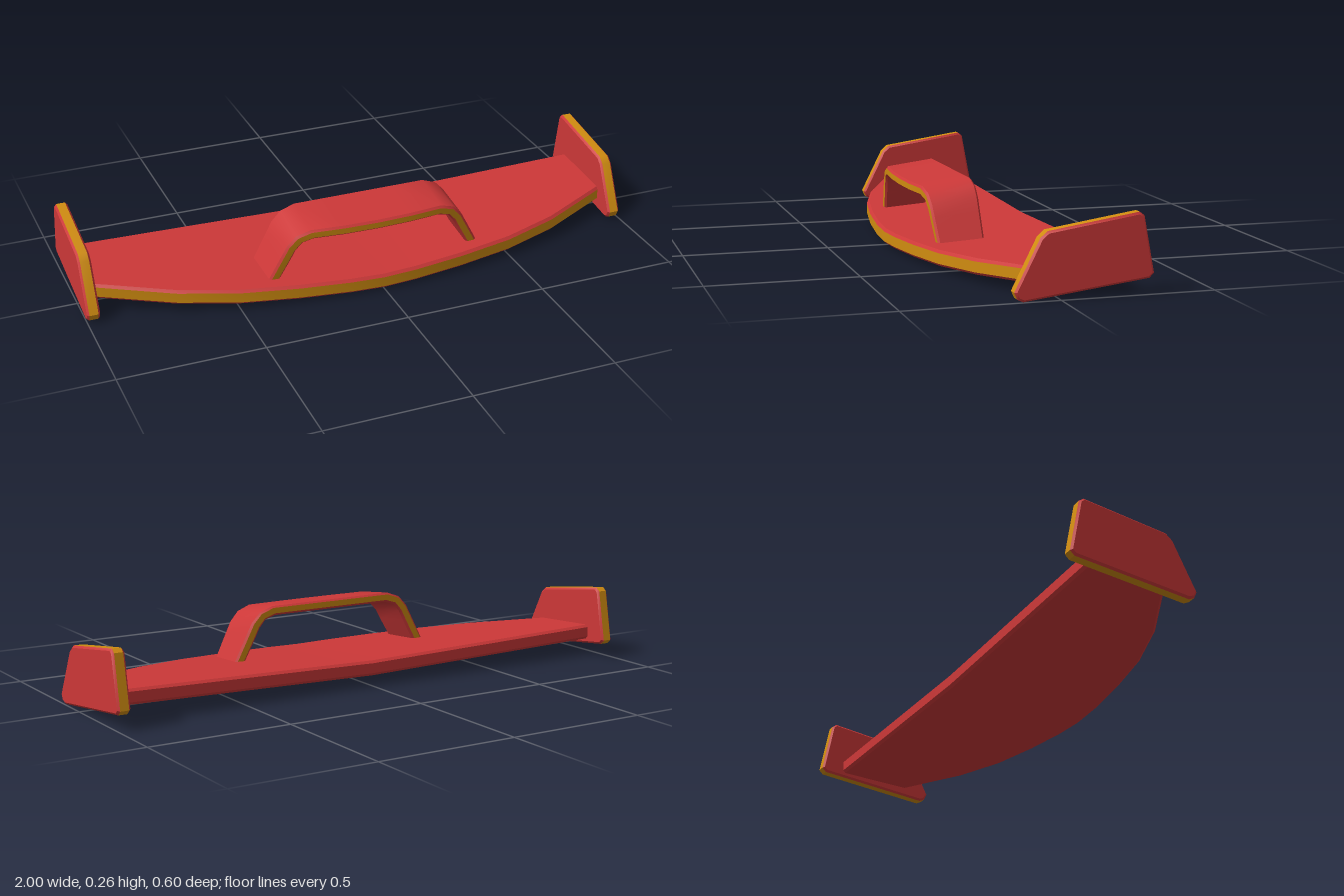
import * as THREE from 'three';
import { toCreasedNormals } from 'three/addons/utils/BufferGeometryUtils.js';

const red = new THREE.MeshStandardMaterial({ color: 0xcc3838 });
red.name = 'red panel';
const gold = new THREE.MeshStandardMaterial({ color: 0xd08c10 });
gold.name = 'gold edge';

// Skin closed cross-sections running along +x; the listed section edges are gold
function loft(rings, goldEdges) {
  const n = rings[0].length;
  const index = [[], []];
  for (let i = 0; i < rings.length - 1; i++) {
    for (let k = 0; k < n; k++) {
      const a = i * n + k, b = i * n + (k + 1) % n;
      index[goldEdges.includes(k) ? 1 : 0].push(a, a + n, b, a + n, b + n, b);
    }
  }
  const g = new THREE.BufferGeometry();
  g.setAttribute('position', new THREE.Float32BufferAttribute(rings.flat(2), 3));
  g.setIndex([...index[0], ...index[1]]);
  g.addGroup(0, index[0].length, 0);
  g.addGroup(index[0].length, index[1].length, 1);
  return toCreasedNormals(g, 0.6);
}

function part(geometry, name) {
  const m = new THREE.Mesh(geometry, [red, gold]);
  m.name = name;
  return m;
}

// Mirror a list of [x, ...] from the tip to the centre into a full left-right list
const mirrored = (half) => [
  ...half.map(([x, ...r]) => [-x, ...r]),
  ...half.slice(0, -1).reverse(),
];

// Curved blade, rising slightly to the back and to the tips
function wing() {
  const zb = -0.215, t = 0.053, c = 0.009;
  const front = mirrored([[0.965, 0.052], [0.7, 0.18], [0.5, 0.243], [0.3, 0.277], [0.12, 0.296], [0, 0.3]]);
  const rings = front.map(([x, zf]) => [
    [zf, c], [zf, t - c], [zf - c, t], [zb + c, t],
    [zb, t - c], [zb, c], [zb + c, 0], [zf - c, 0],
  ].map(([z, y]) => [x, y + 0.004 + (0.3 - z) * 0.066 + Math.abs(x) * 0.022, z]));
  return part(loft(rings, [0]), 'wing');
}

// Arched band over the middle with a bowed front edge
function arch() {
  const zb = 0.053, c = 0.007, k = 0.2;
  const stations = mirrored([ // outer x, outer y, inner inset, inner y
    [0.4, 0.05, 0.04, 0.05], [0.345, 0.155, 0.034, 0.14], [0.322, 0.198, 0.03, 0.177],
    [0.29, 0.232, 0.022, 0.205], [0.24, 0.25, 0.01, 0.217], [0.12, 0.25, 0, 0.217], [0, 0.25, 0, 0.217],
  ]);
  const rings = stations.map(([x, y, inset, yi]) => {
    const zf = 0.243 - 0.035 * (x / 0.4) ** 2;
    const xi = x - Math.sign(x) * inset;
    // s runs from the inner (0) to the outer (1) skin
    return [[zf, k], [zf, 1 - k], [zf - c, 1], [zb + c, 1], [zb, 1 - k], [zb, k], [zb + c, 0], [zf - c, 0]]
      .map(([z, s]) => [xi + (x - xi) * s, yi + (y - yi) * s + (0.15 - z) * 0.13, z]);
  });
  return part(loft(rings, [0, 4]), 'arch');
}

// Chamfered upright plate with red faces and a gold rim
function endPlateGeometry() {
  const b = 0.007, w = 0.045;
  const outline = [[0.147, 0.032], [0.137, 0.01], [0.118, 0.001], [-0.285, 0.051], [-0.3, 0.066],
    [-0.266, 0.245], [-0.25, 0.257], [0.043, 0.213], [0.066, 0.193]];
  const shape = new THREE.Shape(outline.map(([z, y]) => new THREE.Vector2(-z, y)));
  const g = new THREE.ExtrudeGeometry(shape, {
    depth: w - 2 * b, bevelThickness: b, bevelSize: b, bevelOffset: -b, bevelSegments: 1,
  });
  g.translate(0, 0, b - w / 2).rotateY(Math.PI / 2);
  // Sort triangles into faces with chamfers, and rim
  const p = g.attributes.position, tri = new THREE.Triangle(), n = new THREE.Vector3();
  const sets = [[], []];
  for (let i = 0; i < p.count; i += 3) {
    tri.setFromAttributeAndIndices(p, i, i + 1, i + 2);
    tri.getNormal(n);
    const set = sets[Math.abs(n.x) > 0.3 ? 0 : 1];
    for (const v of [tri.a, tri.b, tri.c]) set.push(v.x, v.y, v.z);
  }
  const out = new THREE.BufferGeometry();
  out.setAttribute('position', new THREE.Float32BufferAttribute(sets.flat(), 3));
  out.addGroup(0, sets[0].length / 3, 0);
  out.addGroup(sets[0].length / 3, sets[1].length / 3, 1);
  return toCreasedNormals(out, 0.6);
}

export function createModel() {
  const model = new THREE.Group();
  model.name = 'spoiler';
  model.add(wing(), arch());
  const plate = endPlateGeometry();
  for (const [side, name] of [[1, 'leftEndPlate'], [-1, 'rightEndPlate']]) {
    const m = part(plate, name);
    m.position.x = side * 0.9775;
    model.add(m);
  }
  return model;
}
